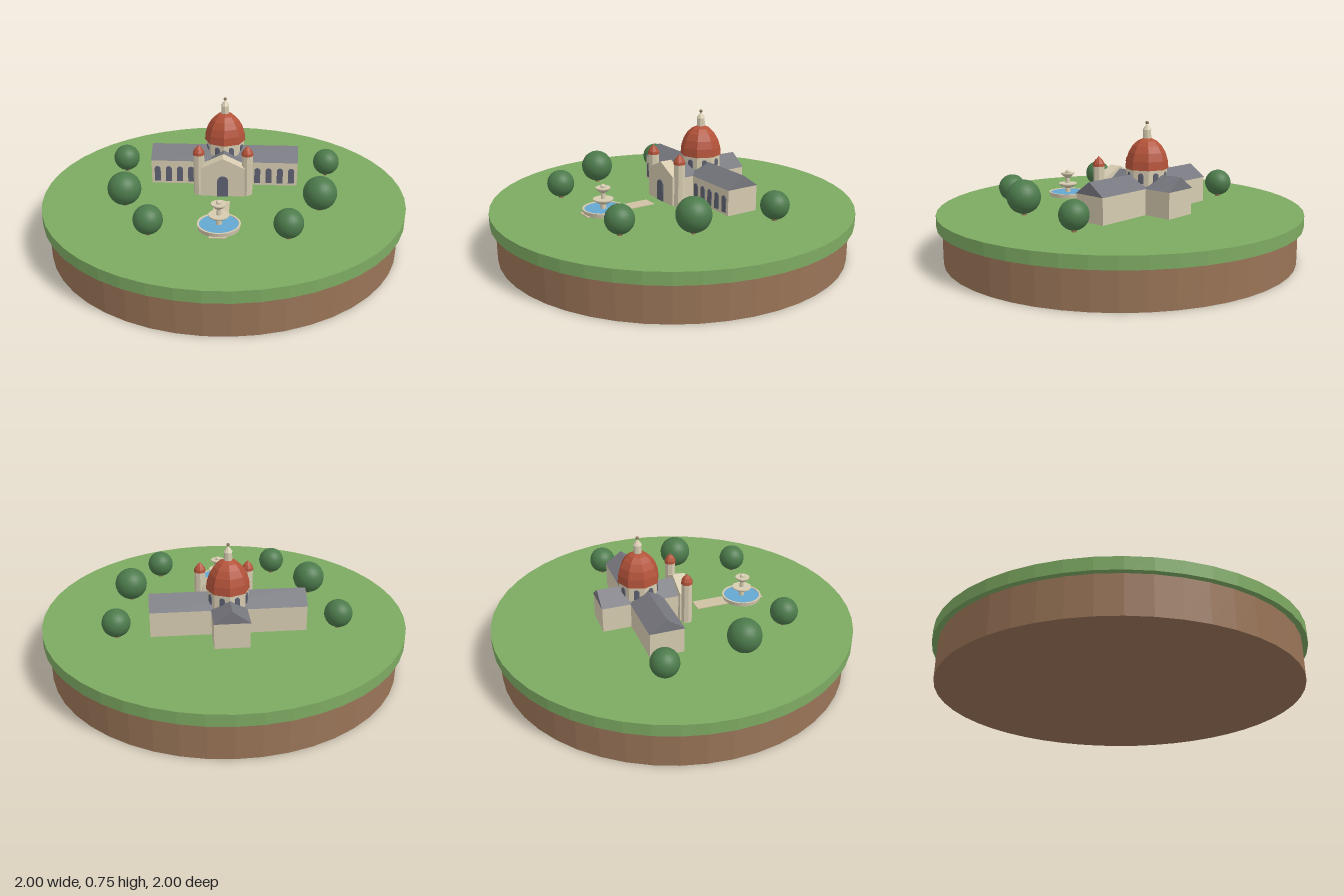
import * as THREE from 'three';

const mat = (name, color) => {
  const m = new THREE.MeshStandardMaterial({ color });
  m.name = name;
  return m;
};
const M = {
  grass: mat('grass green', 0x7daa62),
  earth: mat('earth brown', 0x997457),
  wall: mat('cream stone', 0xd6cbb0),
  roof: mat('slate grey', 0x77777f),
  dome: mat('terracotta', 0xb4533a),
  leaf: mat('leaf green', 0x4c7a4b),
  water: mat('water blue', 0x65a8d0),
  path: mat('path tan', 0xcfc0a4),
  glass: mat('window grey', 0x5f6372),
  finial: mat('finial bronze', 0x8c7a5c),
};
const GROUND = 0.265, EAVES = 0.405, RIDGE = 0.473;

function add(parent, name, geometry, material, x = 0, y = 0, z = 0) {
  const mesh = new THREE.Mesh(geometry, material);
  mesh.name = name;
  mesh.position.set(x, y, z);
  parent.add(mesh);
  return mesh;
}

// Faceted normals
function flat(geometry) {
  const g = geometry.index ? geometry.toNonIndexed() : geometry;
  g.computeVertexNormals();
  return g;
}
const lathe = (pts, sides) =>
  new THREE.LatheGeometry(pts.map(([r, y]) => new THREE.Vector2(r, y)), sides);

// Polygon in the xy plane, extruded and centred along z
function prism(pts, depth) {
  const shape = new THREE.Shape(pts.map(([x, y]) => new THREE.Vector2(x, y)));
  return new THREE.ExtrudeGeometry(shape, { depth, bevelEnabled: false }).translate(0, 0, -depth / 2);
}

// Thin round-headed plate standing on y = 0, facing +z
function archPlate(width, height) {
  const r = width / 2, s = new THREE.Shape();
  s.moveTo(-r, 0);
  s.lineTo(r, 0);
  s.lineTo(r, height - r);
  s.absarc(0, height - r, r, 0, Math.PI, false);
  s.lineTo(-r, 0);
  return new THREE.ExtrudeGeometry(s, { depth: 0.006, bevelEnabled: false, curveSegments: 8 });
}

// Rectangular hall along z with a solid pitched roof
function hall(name, length, width) {
  const g = new THREE.Group();
  g.name = name;
  const h = EAVES - GROUND, w = width / 2 + 0.003;
  add(g, name + 'Walls', new THREE.BoxGeometry(width, h, length), M.wall, 0, GROUND + h / 2, 0);
  add(g, name + 'Roof', prism([[-w, EAVES], [w, EAVES], [0, RIDGE]], length + 0.004), M.roof);
  return g;
}

function createChurch() {
  const church = new THREE.Group();
  church.name = 'church';

  const nave = hall('nave', 0.43, 0.185);
  nave.position.z = -0.015;
  const wings = hall('wings', 0.83, 0.185);
  wings.rotation.y = Math.PI / 2;
  wings.position.z = 0.02;
  church.add(nave, wings);

  // Arched windows along the front of both wings
  const windowGeo = archPlate(0.034, 0.09);
  for (const side of [-1, 1])
    for (let i = 0; i < 5; i++)
      add(church, 'wingWindow', windowGeo, M.glass, side * (0.125 + i * 0.064), 0.28, 0.112);

  // Gabled entrance front with door
  const f = 0.12;
  add(church, 'facade',
    prism([[-f, GROUND], [f, GROUND], [f, 0.43], [0, 0.488], [-f, 0.43]], 0.07), M.wall, 0, 0, 0.232);
  add(church, 'door', archPlate(0.06, 0.12), M.glass, 0, GROUND, 0.266);

  // Corner towers with pointed caps
  for (const side of [-1, 1]) {
    add(church, 'tower', flat(new THREE.CylinderGeometry(0.03, 0.03, 0.235, 8)), M.wall,
      side * 0.133, GROUND + 0.1175, 0.23);
    add(church, 'towerCap',
      flat(lathe([[0, 0], [0.033, 0], [0.031, 0.016], [0.021, 0.034], [0.009, 0.045], [0, 0.057]], 8)),
      M.dome, side * 0.133, 0.498, 0.23);
  }

  // Octagonal drum with a window in every face
  const R = 0.109;
  add(church, 'drum', flat(new THREE.CylinderGeometry(R, R, 0.14, 8)), M.wall, 0, 0.43, 0);
  const drumWindow = archPlate(0.028, 0.055).translate(0, 0, R * Math.cos(Math.PI / 8));
  for (let i = 0; i < 8; i++)
    add(church, 'drumWindow', drumWindow, M.glass, 0, 0.428, 0).rotation.y = (i + 0.5) * Math.PI / 4;

  // Dome and lantern
  const profile = [[0, 0]];
  for (let i = 0; i <= 5; i++) {
    const t = i * 0.28;
    profile.push([0.116 * Math.cos(t), 0.164 * Math.sin(t)]);
  }
  profile.push([0, 0.164]);
  add(church, 'dome', flat(lathe(profile, 8)), M.dome, 0, 0.498, 0);
  add(church, 'lantern', flat(new THREE.CylinderGeometry(0.021, 0.023, 0.05, 8)), M.wall, 0, 0.678, 0);
  add(church, 'lanternRoof', flat(new THREE.ConeGeometry(0.025, 0.035, 8)), M.wall, 0, 0.72, 0);
  add(church, 'finial', new THREE.SphereGeometry(0.009, 12, 8), M.finial, 0, 0.741, 0);
  return church;
}

function createFountain() {
  const g = new THREE.Group();
  g.name = 'fountain';
  add(g, 'basin', flat(lathe([[0.108, 0], [0.112, 0.024], [0.102, 0.024], [0.1, 0.01]], 32)), M.wall);
  add(g, 'water', new THREE.CylinderGeometry(0.103, 0.103, 0.012, 32), M.water, 0, 0.014, 0);
  add(g, 'stem', new THREE.CylinderGeometry(0.011, 0.016, 0.13, 16), M.wall, 0, 0.065, 0);
  // Two flared bowls, the smaller on top
  const bowl = (r) => flat(lathe([[0.01, -0.026], [r * 0.6, -0.016], [r, 0], [r, 0.006], [0, 0.006]], 24));
  add(g, 'lowerBowl', bowl(0.054), M.wall, 0, 0.068, 0);
  add(g, 'upperBowl', bowl(0.04), M.wall, 0, 0.13, 0);
  add(g, 'spout', new THREE.SphereGeometry(0.014, 16, 10), M.wall, 0, 0.14, 0);
  return g;
}

export function createModel() {
  const model = new THREE.Group();
  model.name = 'churchIsland';

  // Round base
  add(model, 'earth', flat(new THREE.CylinderGeometry(0.97, 0.97, 0.2, 48)), M.earth, 0, 0.1, 0);
  add(model, 'lawn', flat(new THREE.CylinderGeometry(1, 1, 0.065, 48)), M.grass, 0, 0.2325, 0);

  // Church, path and fountain share one turned axis
  const site = new THREE.Group();
  site.name = 'site';
  site.position.set(0.064, 0, -0.183);
  site.rotation.y = -0.349;
  const fountain = createFountain();
  fountain.position.set(0, GROUND, 0.623);
  site.add(createChurch(), fountain);
  add(site, 'path', new THREE.BoxGeometry(0.087, 0.006, 0.405), M.path, 0, GROUND + 0.001, 0.537);
  model.add(site);

  // Round trees: x, z, radius
  const trees = [[-0.47, -0.435, 0.075], [-0.56, 0.013, 0.09], [-0.505, 0.367, 0.075],
    [0.636, -0.03, 0.075], [0.417, 0.372, 0.09], [0.147, 0.607, 0.075]];
  for (const [x, z, r] of trees) {
    add(model, 'treeCrown', new THREE.SphereGeometry(r, 24, 16), M.leaf, x, GROUND + 0.008 + r, z);
    add(model, 'treeTrunk', new THREE.CylinderGeometry(0.012, 0.014, 0.05, 8), M.earth, x, GROUND + 0.025, z);
  }
  return model;
}
